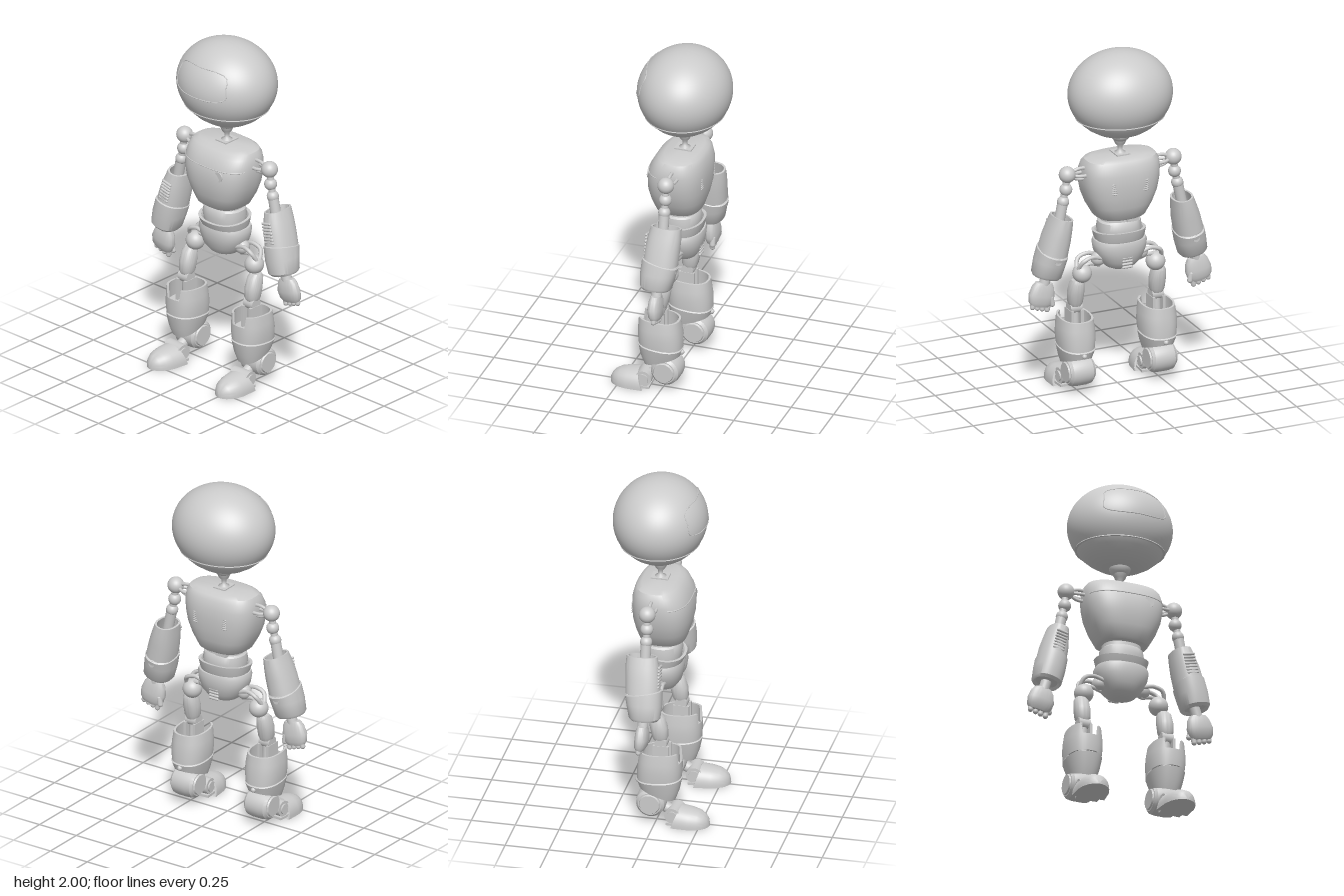
import * as THREE from 'three';
import { toCreasedNormals } from 'three/addons/utils/BufferGeometryUtils.js';

const V = (x, y, z) => new THREE.Vector3(x, y, z);
const mat = new THREE.MeshStandardMaterial({ color: 0xcccccc, side: THREE.DoubleSide });

function add(parent, name, geo, x = 0, y = 0, z = 0) {
  const m = new THREE.Mesh(geo, mat);
  m.name = name;
  m.position.set(x, y, z);
  parent.add(m);
  return m;
}

// Point on a superellipse outline
function outline(a, rx, rz, e) {
  const c = Math.cos(a), s = Math.sin(a);
  return [rx * Math.sign(c) * Math.abs(c) ** (2 / e), rz * Math.sign(s) * Math.abs(s) ** (2 / e)];
}

// Skin over sections [y, centreX, radiusX, radiusZ, slope of y along x]
function loft(sections, e = 2, rule = null, n = 48) {
  const pos = [], idx = [];
  for (const [y, cx, rx, rz, slope = 0] of sections) {
    for (let j = 0; j < n; j++) {
      const [px, pz] = outline((j / n) * Math.PI * 2, rx, rz, e);
      const p = V(cx + px, y + slope * px, pz);
      if (rule) rule(p);
      pos.push(p.x, p.y, p.z);
    }
  }
  for (let i = 0; i < sections.length - 1; i++) {
    for (let j = 0; j < n; j++) {
      const k = (j + 1) % n, a = i * n, b = a + n;
      idx.push(a + j, b + j, a + k, b + j, b + k, a + k);
    }
  }
  const g = new THREE.BufferGeometry();
  g.setAttribute('position', new THREE.Float32BufferAttribute(pos, 3));
  g.setIndex(idx);
  return toCreasedNormals(g, 0.6);
}

const ball = (r) => new THREE.SphereGeometry(r, 28, 18);
const tube = (pts, r, closed = false) =>
  new THREE.TubeGeometry(new THREE.CatmullRomCurve3(pts, closed), closed ? 80 : 20, r, 8, closed);

function rod(parent, name, a, b, r1, r2 = r1) {
  const m = add(parent, name, new THREE.CylinderGeometry(r2, r1, a.distanceTo(b), 24));
  m.position.copy(a).lerp(b, 0.5);
  m.quaternion.setFromUnitVectors(V(0, 1, 0), b.clone().sub(a).normalize());
  return m;
}

// Stack of horizontal ribs
function vent(parent, name, x, y, z, width, height, count) {
  for (let i = 0; i < count; i++) {
    const rib = new THREE.CapsuleGeometry(height / count * 0.42, width, 4, 10);
    rib.rotateX(Math.PI / 2);
    add(parent, name, rib, x, y + ((i + 0.5) / count - 0.5) * height, z);
  }
}

function buildHead(g) {
  const pts = [[0, 1.508], [0.09, 1.51], [0.14, 1.525], [0.19, 1.555], [0.225, 1.585], [0.243, 1.612], [0.256, 1.612]];
  for (let i = 0; i <= 28; i++) {
    const a = -0.56 + (i / 28) * (Math.PI / 2 + 0.56);
    pts.push([0.3 * Math.cos(a), 1.75 + 0.25 * Math.sin(a)]);
  }
  const shell = new THREE.LatheGeometry(pts.map(([r, y]) => new THREE.Vector2(Math.max(r, 0), y)), 64);
  shell.scale(0.875, 1, 1);
  add(g, 'headShell', toCreasedNormals(shell, 0.6), 0.038);

  // Visor patch following the face
  const onFace = (u, v) => {
    const y = 1.822 + 0.083 * v, z = 0.18 * u * (1 - 0.3 * v ** 6) * (1 - 0.08 * v);
    const h = 1 - (z / 0.3) ** 2 - ((y - 1.75) / 0.25) ** 2;
    return V(0.038 - 0.2655 * Math.sqrt(Math.max(h, 0)), y, z);
  };
  const visor = new THREE.PlaneGeometry(2, 2, 30, 16);
  const p = visor.attributes.position;
  for (let i = 0; i < p.count; i++) p.setXYZ(i, ...onFace(p.getX(i), p.getY(i)).toArray());
  visor.computeVertexNormals();
  add(g, 'visor', visor);
  const rim = [];
  for (let i = 0; i < 40; i++) rim.push(onFace(...outline((i / 40) * Math.PI * 2, 1, 1, 7)));
  add(g, 'visorRim', tube(rim, 0.003, true));

  // Neck
  add(g, 'neckBall', ball(0.062), 0.038, 1.52, 0);
  const neck = [[0.04, 1.475], [0.03, 1.45], [0.014, 1.43], [0.014, 1.405], [0.032, 1.395], [0.032, 1.37]];
  add(g, 'neck', new THREE.LatheGeometry(neck.reverse().map(([r, y]) => new THREE.Vector2(r, y)), 24), 0.036);
}

function buildBody(g) {
  add(g, 'chest', loft([
    [1.02, 0.013, 0, 0], [1.02, 0.013, 0.115, 0.13], [1.03, 0.013, 0.127, 0.145], [1.1, 0.013, 0.15, 0.185],
    [1.17, 0.013, 0.165, 0.212], [1.24, 0.015, 0.167, 0.226], [1.3, 0.02, 0.161, 0.228], [1.35, 0.028, 0.14, 0.22],
    [1.375, 0.033, 0.12, 0.205], [1.388, 0.035, 0.095, 0.17], [1.388, 0.035, 0, 0]], 2.7, null, 64));
  add(g, 'neckPlate', new THREE.BoxGeometry(0.1, 0.02, 0.08), 0.036, 1.385, 0);
  const seam = [];
  for (let i = 0; i <= 24; i++) {
    const [x, z] = outline(Math.PI * (0.6 + 0.8 * i / 24), 0.163, 0.227, 2.7);
    seam.push(V(0.018 + x, 1.285, z));
  }
  add(g, 'chestSeam', tube(seam, 0.003));
  const badge = add(g, 'chestDisc', new THREE.CylinderGeometry(0.03, 0.03, 0.012, 24), -0.137, 1.25, 0.1);
  badge.rotation.z = Math.PI / 2;
  for (const s of [1, -1]) vent(g, 'backVent', 0.172, 1.23, 0.095 * s, 0.025, 0.07, 6);

  add(g, 'waist', loft([[0.9, 0.02, 0.1, 0.12], [0.95, 0.02, 0.108, 0.127], [0.99, 0.02, 0.1, 0.122],
    [1.0, 0.02, 0.092, 0.11], [1.03, 0.02, 0.09, 0.11]], 2.3));
  add(g, 'waistBlock', new THREE.BoxGeometry(0.05, 0.035, 0.07), 0.1, 1.02, -0.04);
  add(g, 'belt', loft([[0.875, 0.02, 0.11, 0.135], [0.895, 0.02, 0.12, 0.142], [0.935, 0.02, 0.13, 0.152, 0.1],
    [0.935, 0.02, 0.115, 0.135, 0.1], [0.9, 0.02, 0.1, 0.12]], 2.3));
  add(g, 'pelvis', loft([[0.705, 0.025, 0, 0], [0.705, 0.025, 0.04, 0.045], [0.725, 0.025, 0.08, 0.085],
    [0.765, 0.025, 0.108, 0.125], [0.82, 0.025, 0.12, 0.148], [0.865, 0.025, 0.125, 0.156], [0.885, 0.025, 0.12, 0.148],
    [0.885, 0.025, 0, 0]], 2.3));
  vent(g, 'pelvisVent', 0.133, 0.785, 0, 0.05, 0.11, 6);
}

function buildArm(root, s) {
  const g = new THREE.Group();
  g.name = s > 0 ? 'armPositiveZ' : 'armNegativeZ';
  root.add(g);
  // Shoulder and jointed upper arm
  for (const [x, y] of [[0.01, 1.3], [0.065, 1.3], [0.038, 1.335], [0.038, 1.275]])
    add(g, 'shoulderRod', tube([V(x, y, 0.19 * s), V(x, y, 0.26 * s), V(0.038, 1.31, 0.32 * s)], 0.01));
  add(g, 'shoulderBall', ball(0.047), 0.038, 1.312, 0.325 * s);
  add(g, 'upperArmBall', ball(0.036), 0.038, 1.225, 0.333 * s);
  add(g, 'elbowBall', ball(0.034), 0.038, 1.155, 0.35 * s);
  rod(g, 'upperArmRod', V(0.038, 1.3, 0.325 * s), V(0.038, 1.15, 0.35 * s), 0.02);
  rod(g, 'elbowRod', V(0.038, 1.16, 0.35 * s), V(0.04, 0.92, 0.4 * s), 0.03);

  // Forearm shell with a wider cuff
  const f = new THREE.Group();
  f.name = 'forearm';
  f.position.set(0.04, 0.895, 0.41 * s);
  f.rotation.x = -0.23 * s;
  g.add(f);
  add(f, 'forearmShell', loft([[-0.03, 0.0, 0.098, 0.08], [0.06, 0.005, 0.098, 0.076], [0.13, 0.012, 0.094, 0.066],
    [0.185, 0.017, 0.087, 0.057], [0.185, 0.017, 0.076, 0.046], [0.08, 0.005, 0.08, 0.055], [0.08, 0, 0, 0]], 2.3));
  add(f, 'cuff', loft([[-0.165, -0.015, 0, 0], [-0.165, -0.015, 0.06, 0.06], [-0.18, -0.015, 0.075, 0.072],
    [-0.165, -0.015, 0.088, 0.082], [-0.09, -0.01, 0.1, 0.086], [-0.025, -0.002, 0.103, 0.085, -0.2],
    [-0.02, -0.002, 0.094, 0.078, -0.2]], 2.3));
  vent(f, 'forearmVent', -0.088, 0.075, 0, 0.055, 0.13, 7);
  const stud = add(f, 'cuffStud', new THREE.CylinderGeometry(0.02, 0.02, 0.012, 20), 0.09, -0.06, 0);
  stud.rotation.z = Math.PI / 2;

  // Hand with curled fingers
  const h = new THREE.Group();
  h.name = 'hand';
  h.position.set(0.032, 0.615, 0.48 * s);
  h.rotation.x = -0.2 * s;
  g.add(h);
  add(h, 'palm', loft([[-0.065, 0.006, 0, 0], [-0.063, 0.006, 0.022, 0.055], [-0.04, 0.004, 0.035, 0.072],
    [0.0, 0, 0.038, 0.078], [0.05, 0, 0.034, 0.066], [0.075, 0, 0.026, 0.05], [0.08, 0, 0, 0]], 2.4));
  for (let i = 0; i < 4; i++) {
    const c = new THREE.CapsuleGeometry(0.015, 0.03, 4, 12);
    add(h, 'finger', c, 0.008, -0.065 + 0.003 * i, (-0.048 + i * 0.031) * s);
  }
  const thumb = add(h, 'thumb', new THREE.CapsuleGeometry(0.016, 0.04, 4, 12), 0.018, -0.025, -0.06 * s);
  thumb.rotation.x = 0.4 * s;
  rod(g, 'wrist', V(0.032, 0.76, 0.44 * s), V(0.032, 0.66, 0.47 * s), 0.03);
}

function buildLeg(root, s) {
  const g = new THREE.Group();
  g.name = s > 0 ? 'legPositiveZ' : 'legNegativeZ';
  root.add(g);
  // Hip loops and ball
  add(g, 'hipSocket', ball(0.042), 0.025, 0.775, 0.13 * s);
  for (const [x, dy] of [[-0.015, 0.02], [0.06, 0.02], [0.025, -0.03]])
    add(g, 'hipLoop', tube([V(x, 0.765 + dy, 0.12 * s), V(x, 0.78 + dy, 0.18 * s),
      V(x, 0.76 + dy, 0.235 * s), V(0.02, 0.71, 0.26 * s)], 0.012));
  add(g, 'hipBall', ball(0.055), 0.02, 0.7, 0.225 * s);

  const at = (name, geo) => add(g, name, geo, 0, 0, 0.25 * s);
  at('thigh', loft([[0.5, -0.02, 0, 0], [0.5, -0.02, 0.035, 0.032], [0.525, -0.02, 0.046, 0.043],
    [0.58, -0.012, 0.05, 0.046], [0.64, 0.002, 0.045, 0.04], [0.66, 0.008, 0.03, 0.03], [0.66, 0.008, 0, 0]], 2.3));
  const knee = at('kneeJoint', new THREE.CylinderGeometry(0.035, 0.035, 0.07, 24));
  knee.position.set(-0.028, 0.485, 0.25 * s);
  knee.rotation.x = Math.PI / 2;
  for (const dz of [-0.03, 0.03]) add(g, 'kneeBracket', new THREE.BoxGeometry(0.09, 0.13, 0.016), -0.03, 0.41, 0.25 * s + dz);
  rod(g, 'shinRod', V(-0.028, 0.49, 0.25 * s), V(-0.02, 0.3, 0.25 * s), 0.025);

  // Shin shell, open at the top and notched in front
  const notch = (p) => { if (p.x < 0 && Math.abs(p.z) < 0.045 && p.y > 0.39) p.y = 0.36; };
  at('shinShell', loft([[0.27, -0.016, 0.124, 0.099, -0.08], [0.33, -0.018, 0.126, 0.105], [0.38, -0.021, 0.122, 0.102],
    [0.437, -0.024, 0.118, 0.094, -0.06], [0.437, -0.024, 0.106, 0.083, -0.06], [0.34, -0.02, 0.112, 0.09],
    [0.34, -0.02, 0, 0]], 2.4, notch));
  at('lowerShin', loft([[0.2, -0.005, 0, 0], [0.185, -0.005, 0.09, 0.066, 0.35], [0.178, -0.005, 0.103, 0.078, 0.35],
    [0.215, -0.012, 0.116, 0.09, 0.15], [0.262, -0.016, 0.127, 0.101, -0.08], [0.267, -0.016, 0.12, 0.095, -0.08]], 2.4));
  add(g, 'shinStud', new THREE.SphereGeometry(0.015, 16, 10), 0.106, 0.235, 0.25 * s);

  // Heel wheel with hubs
  const profile = [[0, -0.083], [0.055, -0.083], [0.06, -0.074], [0.066, -0.074], [0.08, -0.06], [0.085, -0.03],
    [0.085, 0.03], [0.08, 0.06], [0.066, 0.074], [0.06, 0.074], [0.055, 0.083], [0, 0.083]];
  const wheel = new THREE.LatheGeometry(profile.map(([r, y]) => new THREE.Vector2(r, y)), 40);
  const w = at('heelWheel', toCreasedNormals(wheel, 0.6));
  w.position.set(0.025, 0.125, 0.25 * s);
  w.rotation.x = Math.PI / 2;

  // Foot: hollow toe cap and ankle joint
  const foot = new THREE.Group();
  foot.name = 'foot';
  foot.position.set(-0.14, 0, 0.255 * s);
  foot.rotation.y = 0.07 * s;
  g.add(foot);
  const floor = (p) => { if (p.x < 0) p.x = 0; p.y -= 0.035 * Math.max(0, 1 - p.y / 0.05) * (1 - p.x / 0.1); };
  const toe = add(foot, 'toeCap', loft([[0.03, 0, 0, 0], [0.03, 0, 0.085, 0.078], [0, 0, 0.09, 0.085], [0, 0, 0.1, 0.095],
    [0.06, 0, 0.094, 0.09], [0.105, 0, 0.084, 0.077], [0.135, 0, 0.068, 0.058], [0.153, 0, 0.05, 0.038],
    [0.163, 0, 0.025, 0.015], [0.165, 0, 0, 0]], 2.3, floor));
  toe.rotation.z = Math.PI / 2;
  const ankle = add(foot, 'ankleJoint', new THREE.CylinderGeometry(0.046, 0.046, 0.12, 28), 0.035, 0.058, 0);
  ankle.rotation.x = Math.PI / 2;
  for (const dz of [-0.063, 0.063]) {
    const cap = add(foot, 'ankleCap', new THREE.CylinderGeometry(0.03, 0.03, 0.012, 24), 0.035, 0.058, dz);
    cap.rotation.x = Math.PI / 2;
  }
  add(foot, 'footSole', new THREE.BoxGeometry(0.09, 0.014, 0.13), 0.025, 0.008, 0);
  rod(g, 'ankleRod', V(-0.1, 0.06, 0.25 * s), V(0.02, 0.12, 0.25 * s), 0.03);
}

export function createModel() {
  const model = new THREE.Group();
  model.name = 'robot';
  buildHead(model);
  buildBody(model);
  for (const s of [1, -1]) {
    buildArm(model, s);
    buildLeg(model, s);
  }
  return model;
}
